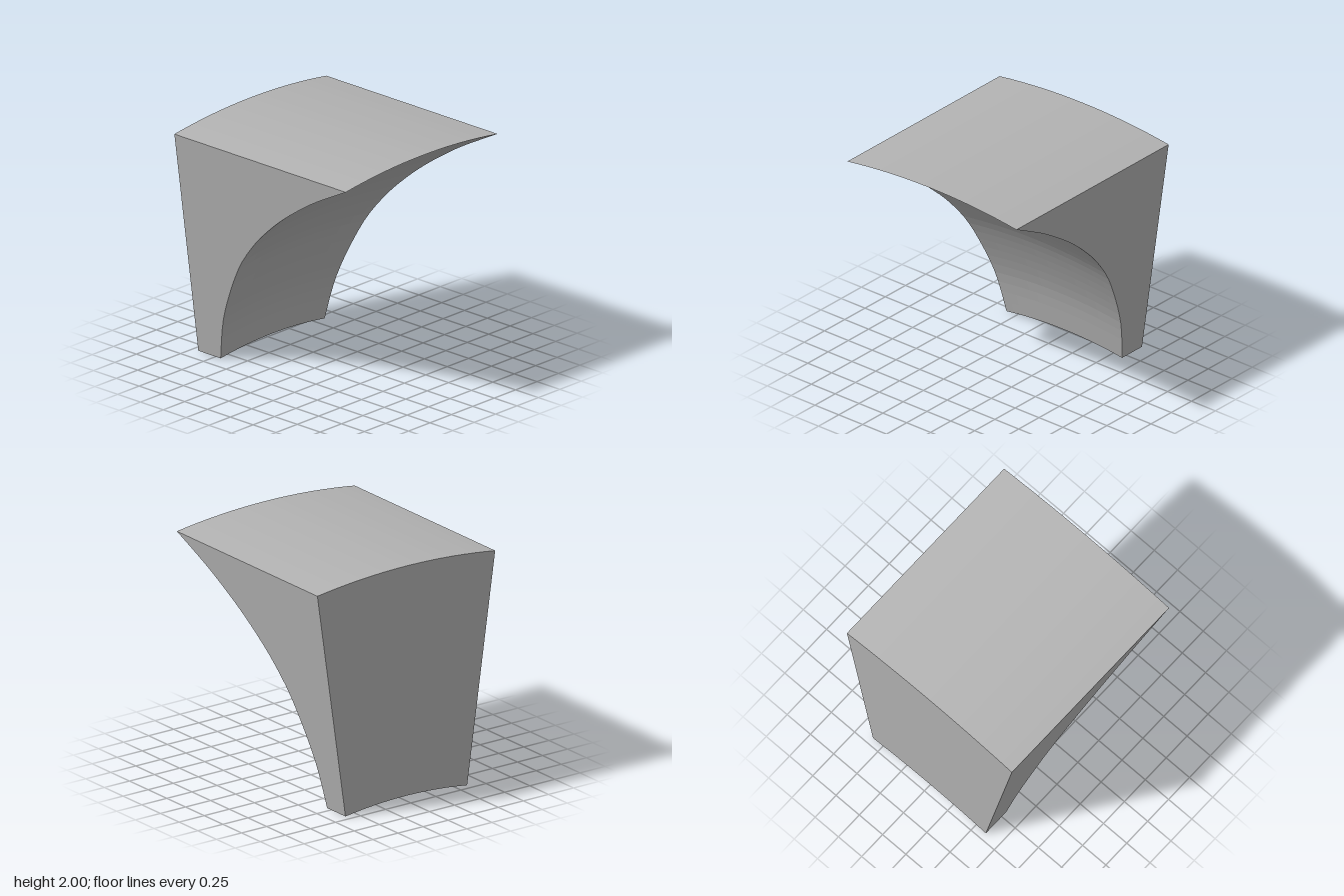
import * as THREE from 'three';

// The block is a sector of a ring whose axis runs along z, below the floor.
const OUTER = 6.2;
const HALF_ANGLE = Math.asin(0.886 / OUTER);
const AXIS_Y = 2 - OUTER;
const HALF_DEPTH = 0.94;

export function createModel() {
  const model = new THREE.Group();
  model.name = 'curvedBracketBlock';
  const grey = new THREE.MeshStandardMaterial({ color: 0xb2b2b2, flatShading: true });
  grey.name = 'grey';

  // Concave front curve on the side edge, as (z, y) from foot to tip
  const curve = new THREE.SplineCurve([
    [-0.695, 0], [-0.605, 0.4], [-0.4, 0.85], [-0.2, 1.125], [0, 1.325],
    [0.2, 1.49], [0.4, 1.63], [0.6, 1.755], [HALF_DEPTH, 1.937],
  ].map(([z, y]) => new THREE.Vector2(z, y)));

  // Closed section as (radius, -z), counter-clockwise
  const radiusAt = (y) => (y - AXIS_Y) / Math.cos(HALF_ANGLE);
  const front = curve.getSpacedPoints(28).map((p) => new THREE.Vector2(radiusAt(p.y), -p.x));
  front[front.length - 1].set(OUTER, -HALF_DEPTH);
  const section = [
    new THREE.Vector2(OUTER, -HALF_DEPTH),
    new THREE.Vector2(OUTER, HALF_DEPTH),
    new THREE.Vector2(radiusAt(0), HALF_DEPTH),
    ...front,
  ];

  const add = (geometry, name) => {
    geometry.rotateX(-Math.PI / 2).translate(0, AXIS_Y, 0);
    const mesh = new THREE.Mesh(geometry, grey);
    mesh.name = name;
    model.add(mesh);
  };

  // Top, back, foot and curved front swept through the sector
  add(new THREE.LatheGeometry(section, 16, -HALF_ANGLE, 2 * HALF_ANGLE), 'sweptBody');

  // Flat side faces
  for (const side of [-1, 1]) {
    const shape = new THREE.Shape(section.slice(0, -1).map((p) => new THREE.Vector2(-side * p.x, p.y)));
    const cap = new THREE.ShapeGeometry(shape).rotateY(side * (HALF_ANGLE + Math.PI / 2));
    add(cap, side > 0 ? 'leftSide' : 'rightSide');
  }
  return model;
}
